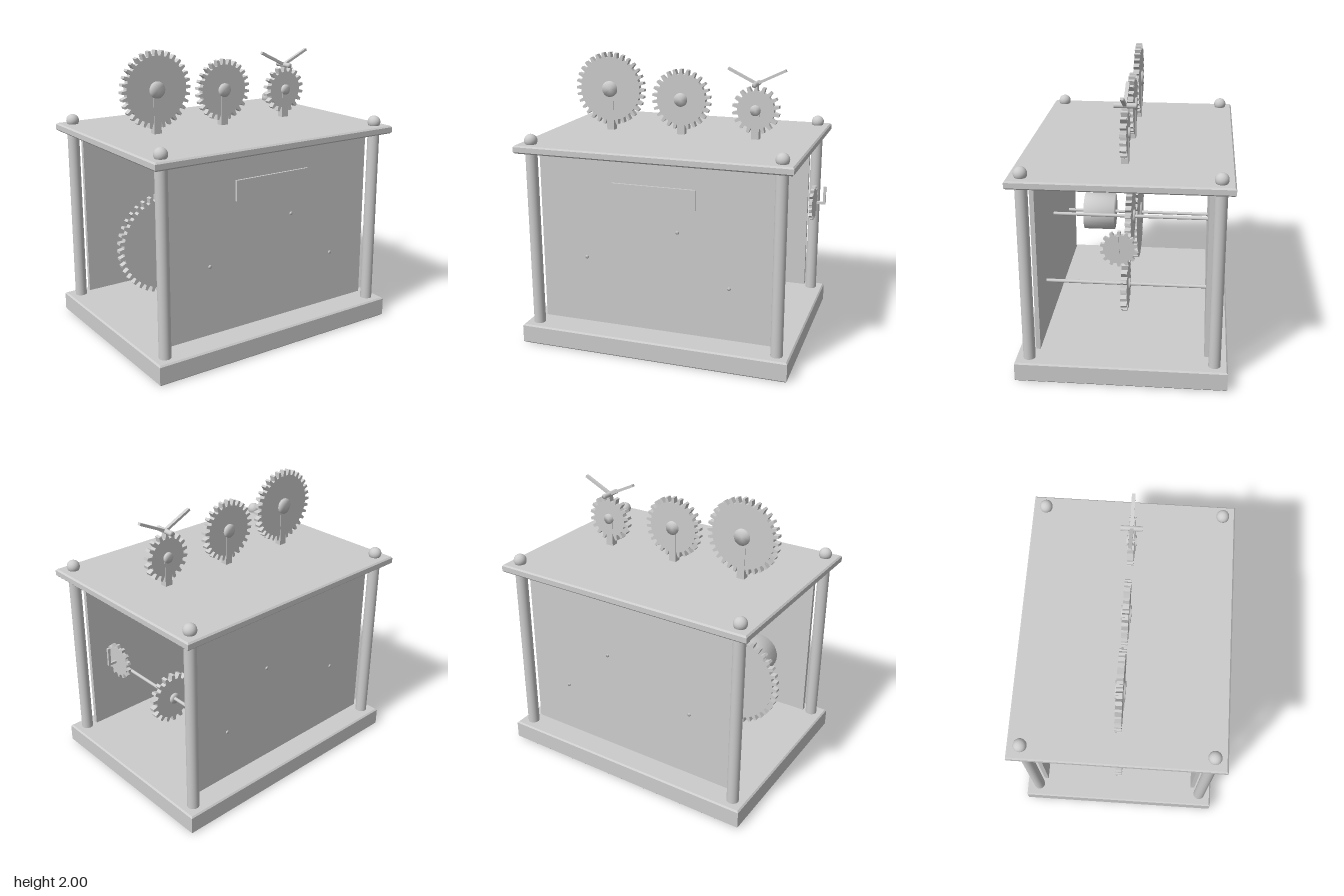
import * as THREE from 'three';
import { mergeVertices } from 'three/addons/utils/BufferGeometryUtils.js';

export function createModel() {
  const model = new THREE.Group();
  const steel = new THREE.MeshStandardMaterial({ color: 0xcccccc });
  steel.name = 'plainGrey';
  const CX = -0.045; // middle of the case

  function add(name, geometry, x, y, z, parent = model) {
    const mesh = new THREE.Mesh(geometry, steel);
    mesh.name = name;
    mesh.position.set(x, y, z);
    parent.add(mesh);
    return mesh;
  }

  // Shares vertices so that shading rolls over the rims
  function softened(geometry) {
    geometry.deleteAttribute('normal');
    geometry.deleteAttribute('uv');
    const merged = mergeVertices(geometry);
    merged.computeVertexNormals();
    return merged;
  }

  // Cylinder along z with rounded shading
  function drum(radius, length) {
    return softened(new THREE.CylinderGeometry(radius, radius, length, 32).rotateX(Math.PI / 2));
  }

  // Slab with chamfered edges, centred on its origin
  function slab(w, h, d, c = 0.01) {
    const a = w / 2 - c, b = d / 2 - c;
    const outline = new THREE.Shape([
      new THREE.Vector2(-a, -b), new THREE.Vector2(a, -b),
      new THREE.Vector2(a, b), new THREE.Vector2(-a, b),
    ]);
    const g = new THREE.ExtrudeGeometry(outline, {
      depth: h - 2 * c, bevelEnabled: true, bevelSize: c, bevelThickness: c, bevelSegments: 1,
    });
    return g.translate(0, 0, c - h / 2).rotateX(-Math.PI / 2);
  }

  // Toothed wheel lying in the xy plane
  function cog(radius, teeth, depth, thickness) {
    const points = [];
    const step = (Math.PI * 2) / teeth;
    const root = radius - depth;
    for (let i = 0; i < teeth; i++) {
      for (const [t, r] of [[-0.3, root], [-0.16, radius], [0.16, radius], [0.3, root]]) {
        const angle = Math.PI / 2 + (i + t) * step;
        points.push(new THREE.Vector2(Math.cos(angle) * r, Math.sin(angle) * r));
      }
    }
    return new THREE.ExtrudeGeometry(new THREE.Shape(points), { depth: thickness, bevelEnabled: false })
      .translate(0, 0, -thickness / 2);
  }

  function gear(name, x, y, radius, teeth, hubRadius) {
    const group = new THREE.Group();
    group.name = name;
    group.position.set(x, y, 0);
    add('toothedWheel', cog(radius, teeth, 0.036, 0.042), 0, 0, 0, group);
    add('hub', drum(hubRadius, 0.066), 0, 0, 0, group);
    model.add(group);
  }

  // Case: base, top plate, front and back panels
  add('base', slab(1.91, 0.14, 1.43), CX, 0.07, 0);
  add('topPlate', slab(1.91, 0.055, 1.43), CX, 1.415, 0);
  for (const side of [1, -1]) {
    add(side > 0 ? 'frontPanel' : 'backPanel', new THREE.BoxGeometry(1.65, 1.205, 0.03), CX, 0.7825, side * 0.57);
  }
  add('namePlate', new THREE.BoxGeometry(0.59, 0.14, 0.015), CX, 1.14, 0.5925);

  // Corner columns with ball finials
  for (const x of [-0.91, 0.82]) {
    for (const z of [-0.625, 0.625]) {
      add('column', new THREE.CylinderGeometry(0.041, 0.041, 1.26, 32), x, 0.765, z);
      add('finial', new THREE.SphereGeometry(0.045, 24, 16), x, 1.466, z);
    }
  }

  // Gears standing on the top plate
  const upper = [
    [-0.583, 1.74, 0.262, 32, 0.057],
    [-0.045, 1.69, 0.215, 26, 0.048],
    [0.495, 1.645, 0.167, 18, 0.037],
  ];
  for (const [x, y, r, teeth, hub] of upper) {
    gear('upperGear', x, y, r, teeth, hub);
    add('gearStand', new THREE.BoxGeometry(0.055, y - 1.42, 0.05), x, (y + 1.42) / 2, 0);
  }

  // Gears inside the case, each on its own axle
  const inner = [
    [-0.54, 0.66, 0.36, 40, 0.08],
    [0.12, 0.905, 0.225, 26, 0.048],
    [0.48, 0.55, 0.187, 18, 0.04],
  ];
  for (const [x, y, r, teeth, hub] of inner) {
    gear('innerGear', x, y, r, teeth, hub);
    add('axle', drum(0.012, 1.18), x, y, 0);
  }
  add('windingDrum', drum(0.145, 0.24), -0.54, 0.66, 0.3);

  // Fly with two raised blades
  add('flyPivot', drum(0.017, 0.145), 0.495, 1.825, 0);
  for (const side of [1, -1]) {
    const blade = add('flyBlade', new THREE.BoxGeometry(0.225, 0.018, 0.024), 0.495 + side * 0.101, 1.875, 0);
    blade.rotation.z = side * 0.45;
  }

  // Small wheel and bent crank on the side
  add('sideWheel', cog(0.12, 14, 0.022, 0.022).rotateY(Math.PI / 2), 0.914, 1.02, 0);
  add('crankShaft', new THREE.BoxGeometry(0.06, 0.016, 0.016), 0.97, 1.024, 0);
  add('crankArm', new THREE.BoxGeometry(0.018, 0.125, 0.016), 0.991, 1.0785, 0);

  return model;
}
